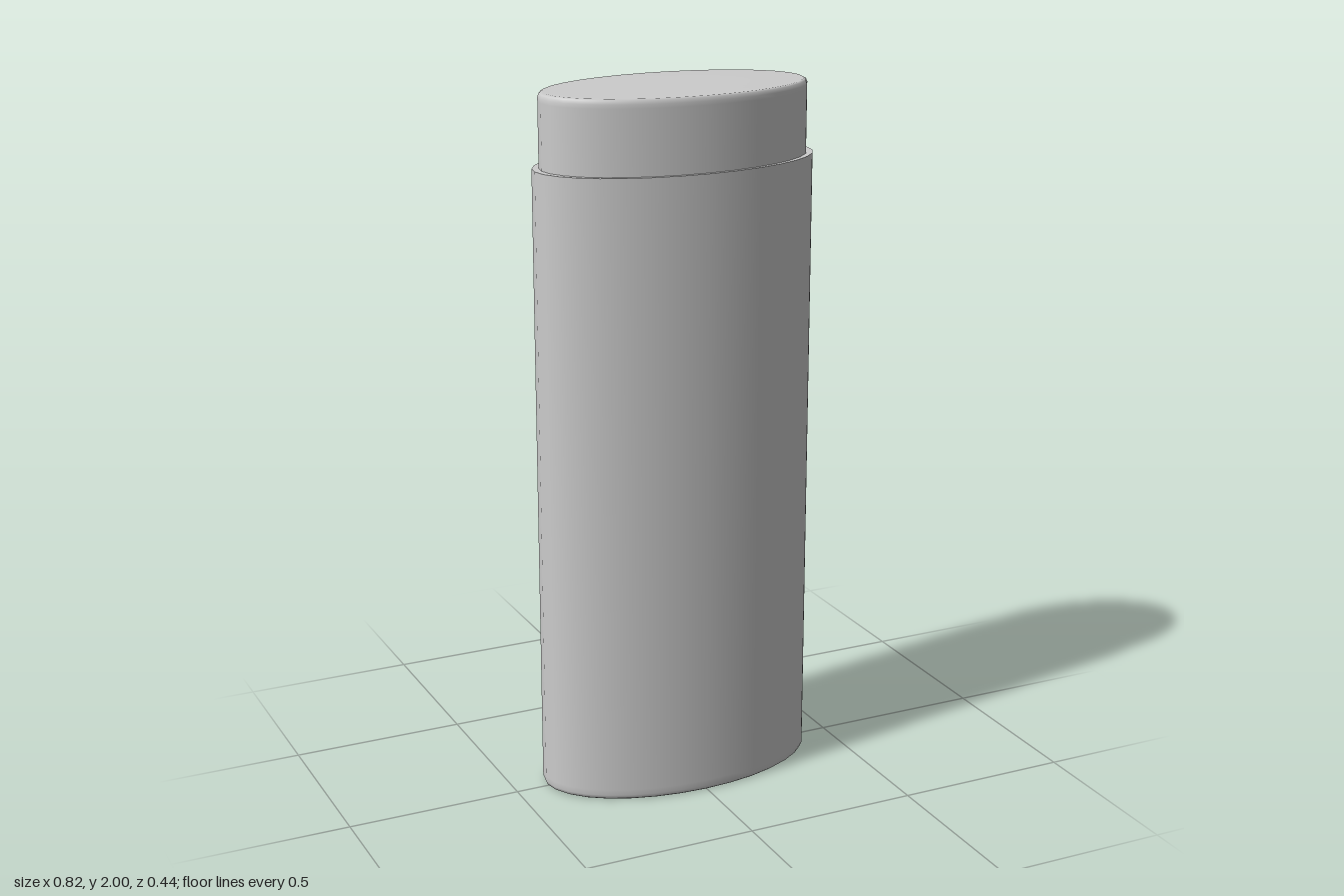
import * as THREE from 'three';

const material = new THREE.MeshStandardMaterial({ color: 0xcccccc });

// Oval solid: a unit-radius profile turned about y, then squashed to an ellipse.
function oval(name, profile, rx, rz) {
  const points = profile.map(([r, y]) => new THREE.Vector2(r, y));
  const geometry = new THREE.LatheGeometry(points, 32);
  geometry.scale(rx, 1, rz);
  const mesh = new THREE.Mesh(geometry, material);
  mesh.name = name;
  return mesh;
}

export function createModel() {
  const group = new THREE.Group();
  group.name = 'ovalContainer';

  // Tall body with a softly rounded bottom edge
  group.add(oval('body', [
    [0, 0], [0.5, 0], [0.97, 0], [0.99, 0.004], [1, 0.014], [1, 0.03], [1, 1.795],
  ], 0.41, 0.22));

  // Crisp ledge around the top of the body
  group.add(oval('ledge', [[1, 1.795], [0.9, 1.795]], 0.41, 0.22));

  // Narrower cap with a softly rounded top edge
  group.add(oval('cap', [
    [1, 1.78], [1, 1.975], [1, 1.986], [0.99, 1.996], [0.97, 2], [0.5, 2], [0, 2],
  ], 0.39, 0.21));

  return group;
}
